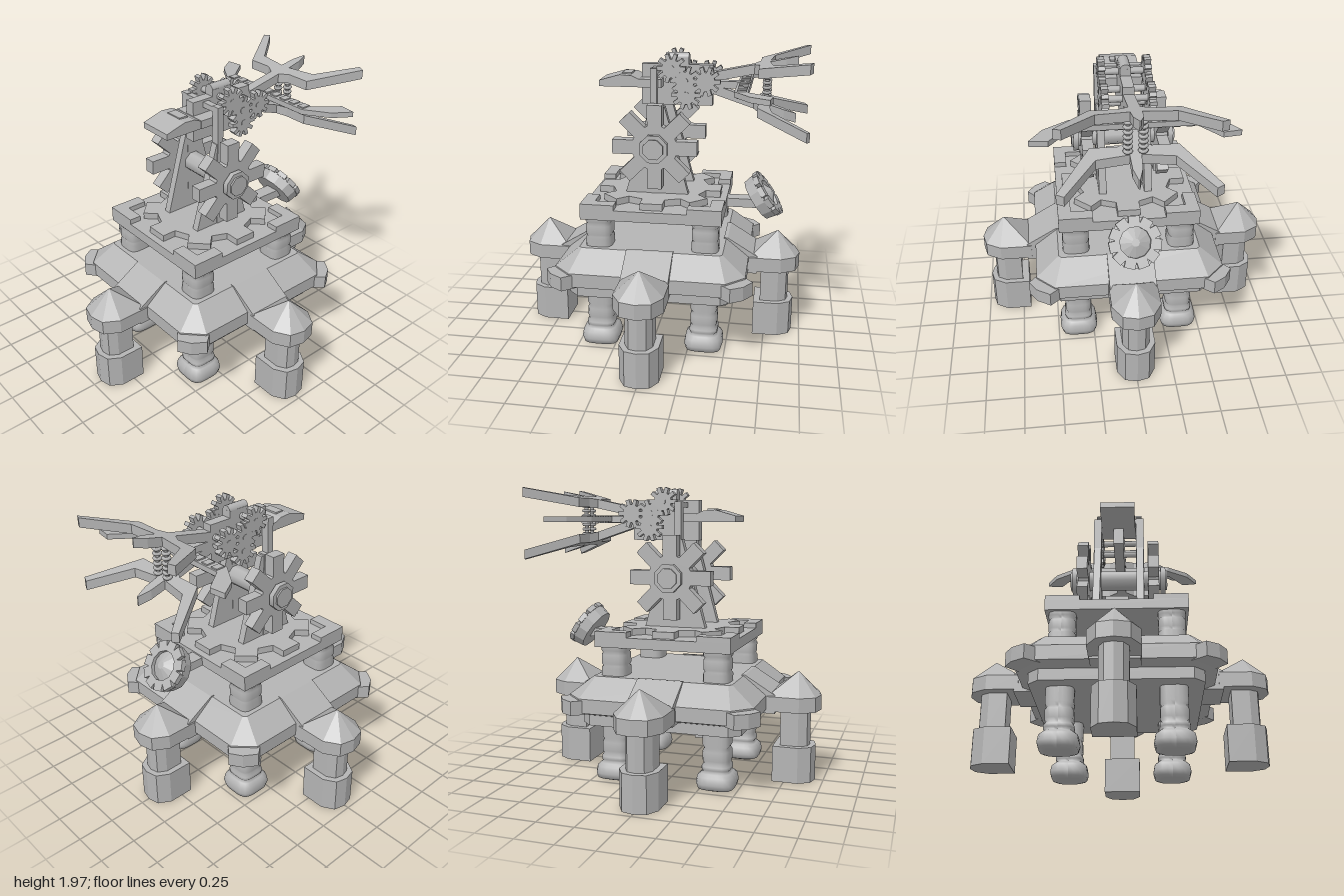
import * as THREE from 'three';

const stone = new THREE.MeshStandardMaterial({ color: 0xb4b4b4 });
stone.name = 'stone grey';

export function createModel() {
  const root = new THREE.Group();
  const add = (name, geo, x = 0, y = 0, z = 0, parent = root) => {
    const m = new THREE.Mesh(geo, stone);
    m.name = name;
    m.position.set(x, y, z);
    parent.add(m);
    return m;
  };
  // box given by its lower and upper corners
  const box = (name, a, b, parent = root) => add(name,
    new THREE.BoxGeometry(b[0] - a[0], b[1] - a[1], b[2] - a[2]),
    (a[0] + b[0]) / 2, (a[1] + b[1]) / 2, (a[2] + b[2]) / 2, parent);
  const extrude = (pts, depth) => new THREE.ExtrudeGeometry(
    new THREE.Shape(pts.map(p => new THREE.Vector2(p[0], p[1]))), { depth, bevelEnabled: false });
  // flat plate from an [x, z] outline, rising from y = 0
  const plate = (pts, h) => extrude(pts.map(p => [p[0], -p[1]]), h).rotateX(-Math.PI / 2);
  // slab from a [z, y] outline, centred on x = 0
  const slab = (pts, w) => extrude(pts.map(p => [-p[0], p[1]]), w).translate(0, 0, -w / 2).rotateY(Math.PI / 2);
  const axle = (r, len, n = 8) => new THREE.CylinderGeometry(r, r, len, n).toNonIndexed()
    .rotateY(Math.PI / n).rotateZ(Math.PI / 2);
  const flat = g => { g.computeVertexNormals(); return g; };

  // faceted solid through stacked [x, z] outlines at rising heights
  const loft = rings => {
    const v = [];
    const P = (r, i) => [rings[r].pts[i][0], rings[r].y, rings[r].pts[i][1]];
    const n = rings[0].pts.length, last = rings.length - 1;
    for (let i = 0; i < n; i++) {
      const j = (i + 1) % n;
      for (let r = 0; r < last; r++) {
        v.push(...P(r, i), ...P(r, j), ...P(r + 1, j), ...P(r, i), ...P(r + 1, j), ...P(r + 1, i));
      }
      v.push(0, rings[0].y, 0, ...P(0, j), ...P(0, i));
      v.push(0, rings[last].y, 0, ...P(last, i), ...P(last, j));
    }
    const g = new THREE.BufferGeometry();
    g.setAttribute('position', new THREE.Float32BufferAttribute(v, 3));
    g.computeVertexNormals();
    return g;
  };
  const chamfered = (h, c) => [[h, h - c], [h, c - h], [h - c, -h], [c - h, -h],
    [-h, c - h], [-h, h - c], [c - h, h], [h - c, h]];
  const gear = (n, rIn, rOut, w) => {
    const pts = [], root = Math.sqrt(rIn * rIn - w * w);
    for (let i = 0; i < n; i++) {
      const a = i / n * Math.PI * 2, c = Math.cos(a), s = Math.sin(a);
      for (const [r, t] of [[root, -w], [rOut, -w], [rOut, w], [root, w]]) pts.push([r * c - t * s, r * s + t * c]);
    }
    return pts;
  };

  // four legs with rounded-square section
  const profile = [[0, 0], [0.085, 0], [0.12, 0.015], [0.13, 0.05], [0.122, 0.095], [0.1, 0.115], [0.085, 0.125],
    [0.095, 0.14], [0.095, 0.16], [0.083, 0.18], [0.09, 0.2], [0.09, 0.26], [0.08, 0.28], [0.09, 0.3],
    [0.09, 0.77], [0.08, 0.785], [0.088, 0.8], [0.088, 0.86], [0.08, 0.875], [0.09, 0.89], [0.09, 0.92]];
  const legGeo = new THREE.LatheGeometry(profile.map(p => new THREE.Vector2(...p)), 24);
  const lp = legGeo.attributes.position;
  for (let i = 0; i < lp.count; i++) {
    const x = lp.getX(i), z = lp.getZ(i), r = Math.hypot(x, z);
    if (r < 1e-5) continue;
    const f = Math.pow((x / r) ** 4 + (z / r) ** 4, -0.25);
    lp.setX(i, x * f);
    lp.setZ(i, z * f);
  }
  legGeo.computeVertexNormals();
  for (const x of [-0.355, 0.355]) for (const z of [-0.355, 0.355]) add('leg', legGeo, x, 0, z);

  // sloping base roof
  add('baseSlab', loft([{ y: 0.4, pts: chamfered(0.545, 0.07) }, { y: 0.48, pts: chamfered(0.545, 0.07) }]));
  add('baseRoof', loft([
    { y: 0.475, pts: chamfered(0.56, 0.1) }, { y: 0.5, pts: chamfered(0.63, 0.12) },
    { y: 0.595, pts: chamfered(0.63, 0.12) }, { y: 0.72, pts: chamfered(0.475, 0.02) }]));
  const ramp = slab([[0.46, 0.475], [0.46, 0.725], [0.485, 0.725], [0.69, 0.6], [0.69, 0.475]], 0.31);
  const bracket = plate([[0.68, 0.545], [0.6, 0.45], [0.45, 0.6], [0.545, 0.68], [0.625, 0.63]].reverse(), 0.095);

  // corner turrets, one per side
  const outline = s => [[0.16, -0.185], [-0.16, -0.185], [-0.16, 0.03], [-0.1, 0.13], [0, 0.155],
    [0.1, 0.13], [0.16, 0.03]].map(p => [p[0] * s, p[1] * s]);
  const turretParts = [
    ['turretBase', loft([{ y: 0, pts: outline(0.8) }, { y: 0.245, pts: outline(0.8) }])],
    ['turretShaft', loft([{ y: 0.24, pts: outline(0.56) }, { y: 0.5, pts: outline(0.56) }])],
    ['turretRoof', loft([{ y: 0.49, pts: outline(1) }, { y: 0.59, pts: outline(1) }, { y: 0.745, pts: outline(0.001) }])]];
  for (let k = 0; k < 4; k++) {
    const side = new THREE.Group();
    side.name = 'baseSide';
    side.rotation.y = k * Math.PI / 2;
    root.add(side);
    add('ramp', ramp, 0, 0, 0, side);
    add('cornerBracket', bracket, 0, 0.49, 0, side);
    for (const [name, g] of turretParts) add(name, g, 0, 0, k % 2 ? 0.845 : 0.82, side);
  }

  // upper platform with corner caps and flat gear
  box('platform', [-0.465, 0.915, -0.465], [0.465, 0.985, 0.465]);
  for (const sx of [-1, 1]) for (const sz of [-1, 1]) {
    const cap = [[0.465, 0.465], [0.465, 0.24], [0.38, 0.24], [0.38, 0.38], [0.24, 0.38], [0.24, 0.465]]
      .map(p => [p[0] * sx, p[1] * sz]);
    add('platformCorner', plate(cap, 0.105), 0, 0.915, 0);
  }
  add('turntableGear', plate(gear(8, 0.33, 0.42, 0.075), 0.055), 0, 0.975, 0);

  // tilted dish behind the platform
  box('dishArm', [-0.05, 0.915, -0.74], [0.05, 0.975, -0.45]);
  const dish = new THREE.Group();
  dish.name = 'dish';
  dish.position.set(0, 0.985, -0.705);
  dish.rotation.x = -0.96;
  root.add(dish);
  add('dishBody', flat(new THREE.CylinderGeometry(0.165, 0.15, 0.08, 12).toNonIndexed()), 0, -0.01, 0, dish);
  add('dishDome', flat(new THREE.CylinderGeometry(0.025, 0.11, 0.05, 12).toNonIndexed()), 0, 0.05, 0, dish);
  for (let i = 0; i < 11; i++) {
    const a = i / 11 * Math.PI * 2;
    const tab = add('dishRim', new THREE.BoxGeometry(0.07, 0.035, 0.07), Math.sin(a) * 0.13, 0.04, Math.cos(a) * 0.13, dish);
    tab.rotation.y = a;
  }

  // side frames, wheels and axle
  const frame = slab([[0.215, 1.02], [-0.215, 1.02], [-0.05, 1.62], [0.05, 1.62]], 0.05);
  const wheel = extrude(gear(8, 0.15, 0.28, 0.048), 0.075).translate(0, 0, -0.0375).rotateY(Math.PI / 2);
  const smallGear = extrude(gear(10, 0.06, 0.095, 0.013), 0.045).translate(0, 0, -0.0225).rotateY(Math.PI / 2);
  const smallGears = [[1.87, -0.09], [1.7, -0.19], [1.79, -0.315], [1.79, -0.18]];
  for (const s of [-1, 1]) {
    add('sideFrame', frame, s * 0.153, 0, 0);
    box('framePost', [s * 0.155 - 0.028, 1.03, -0.03], [s * 0.155 + 0.028, 1.63, 0.045]);
    box('frameTip', [s * 0.155 - 0.028, 1.6, 0.0], [s * 0.155 + 0.028, 1.87, 0.045]);
    add('wheel', wheel, s * 0.247, 1.37, 0);
    add('wheelHub', axle(0.098, 0.035), s * 0.315, 1.37, 0);
    add('axleCap', axle(0.07, 0.69), 0, 1.37, 0).scale.x = s < 0 ? 1 : 0.99;
    for (const [y, z] of smallGears) add('smallGear', smallGear, s * 0.145, y, z);
  }
  for (const [y, z] of smallGears) add('gearAxle', axle(0.022, 0.34), 0, y, z);
  box('crossBar', [-0.18, 1.83, 0.0], [0.18, 1.865, 0.045]);

  // head: narrow body, hood and top pod
  box('headBody', [-0.035, 1.61, -0.35], [0.035, 1.88, 0.125]);
  box('headPod', [-0.035, 1.86, -0.19], [0.035, 1.925, -0.035]);
  add('headPodTop', new THREE.CylinderGeometry(0.035, 0.035, 0.155, 12).rotateX(Math.PI / 2), 0, 1.92, -0.112);
  add('hood', slab([[0.4, 1.735], [0.4, 1.775], [0.26, 1.815], [0.18, 1.81], [0.125, 1.785], [0.1, 1.735]], 0.24));
  box('hoodPlate', [-0.06, 1.8, 0.19], [0.06, 1.822, 0.255]);
  box('hoodBrace', [-0.125, 1.735, -0.02], [0.125, 1.79, 0.13]);

  // jaws: forked arms sloping up and down
  const mirror = half => [...half, ...half.slice().reverse().map(p => [-p[0], p[1]])];
  const fork = mirror([[0.035, -0.3], [0.035, -0.62], [0.1, -0.655], [0.265, -0.655], [0.475, -0.965],
    [0.43, -0.985], [0.235, -0.745], [0.035, -0.72], [0.03, -0.82], [0.004, -0.9]]);
  const jaw = (name, y, slope) => {
    const g = plate(fork, 0.062), p = g.attributes.position;
    for (let i = 0; i < p.count; i++) p.setY(i, p.getY(i) - 0.031 + slope * (p.getZ(i) + 0.38));
    g.computeVertexNormals();
    add(name, g, 0, y, 0);
  };
  jaw('upperJaw', 1.808, -0.21);
  jaw('lowerJaw', 1.712, 0.33);

  // middle claw with small teeth
  const claw = mirror([[0.37, -0.515], [0.53, -0.62], [0.61, -0.742], [0.5, -0.757], [0.38, -0.6]]);
  add('middleClaw', plate(claw, 0.035), 0, 1.735, 0);
  box('middleArm', [-0.035, 1.73, -0.6], [0.035, 1.775, -0.33]);
  for (let i = -4; i <= 4; i++) {
    box('clawTooth', [i * 0.085 - 0.025, 1.725, -0.59], [i * 0.085 + 0.025, 1.778, -0.53]);
  }

  // twin coil springs between the jaws
  for (const x of [-0.045, 0.045]) {
    add('springRod', new THREE.CylinderGeometry(0.015, 0.015, 0.27, 8), x, 1.745, -0.705);
    for (let i = 0; i < 7; i++) {
      add('springCoil', new THREE.TorusGeometry(0.02, 0.011, 6, 12).rotateX(Math.PI / 2), x, 1.65 + i * 0.032, -0.705);
    }
  }

  // orient mirrored outlines and sharpen every faceted part
  root.updateMatrixWorld(true);
  return root;
}
